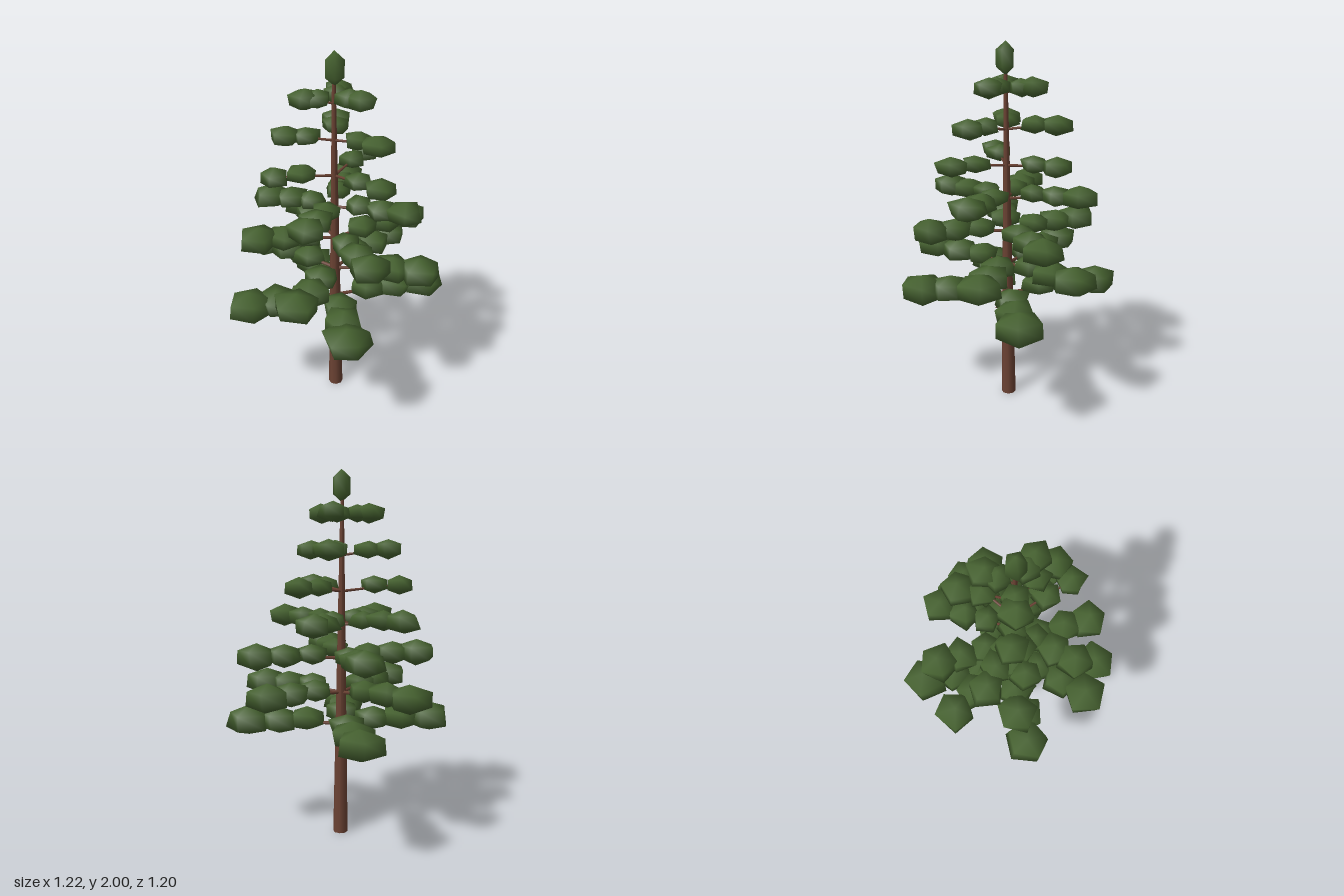
import * as THREE from 'three';
import { mergeVertices } from 'three/addons/utils/BufferGeometryUtils.js';

const bark = new THREE.MeshStandardMaterial({ color: 0x6b4233 });
bark.name = 'bark brown';
const needles = new THREE.MeshStandardMaterial({ color: 0x466230 });
needles.name = 'needle green';

// Small seeded random numbers, -1 to 1
let seed = 11;
const rand = () => {
  seed = (seed * 16807) % 2147483647;
  return (seed / 2147483647) * 2 - 1;
};

// Five-sided smooth lump with uneven corners, radius and half height given
function clumpGeometry(radius, half, jitter, turn) {
  let g = new THREE.SphereGeometry(1, 5, 3);
  g.deleteAttribute('uv');
  g.deleteAttribute('normal');
  g = mergeVertices(g, 1e-3);
  const p = g.attributes.position;
  for (let i = 0; i < p.count; i++) {
    const k = 1 + rand() * jitter;
    p.setXYZ(i, p.getX(i) * k + rand() * jitter * 0.5,
      p.getY(i) * (1 + rand() * jitter * 0.3), p.getZ(i) * k + rand() * jitter * 0.5);
  }
  g.scale(radius / 0.9, half, radius / 0.9);
  g.rotateY(turn);
  g.computeVertexNormals();
  return g;
}

// Tapered round stick between two points
function stick(name, a, b, r0, r1, sides) {
  const dir = b.clone().sub(a);
  const m = new THREE.Mesh(new THREE.CylinderGeometry(r1, r0, dir.length(), sides), bark);
  m.quaternion.setFromUnitVectors(new THREE.Vector3(0, 1, 0), dir.normalize());
  m.position.copy(a).add(b).multiplyScalar(0.5);
  m.name = name;
  return m;
}

const trunkAt = (y) => new THREE.Vector3(-0.01 - 0.003 * y, y, 0.008 * y);

// Tiers from low to high: height, clump half height, clump radius,
// clumps per branch, and the outermost clump centre [x, z] of each branch
const tiers = [
  { y: 0.655, half: 0.083, r: 0.125, n: 3, tips: [[-0.49, 0.13], [0.01, 0.49], [0.49, -0.07], [-0.16, -0.49]] },
  { y: 0.835, half: 0.077, r: 0.115, n: 3, tips: [[-0.24, 0.42], [0.44, 0.13], [-0.39, -0.28], [0.33, -0.34]] },
  { y: 1.025, half: 0.072, r: 0.105, n: 3, tips: [[-0.42, 0.06], [0.13, 0.41], [0.41, -0.18], [-0.18, -0.38]] },
  { y: 1.21, half: 0.063, r: 0.095, n: 3, tips: [[-0.35, -0.1], [0.08, -0.37], [-0.17, 0.33], [0.33, 0.19]] },
  { y: 1.39, half: 0.054, r: 0.08, n: 2, tips: [[-0.32, 0.09], [0.18, 0.28], [0.17, -0.25]] },
  { y: 1.582, half: 0.054, r: 0.08, n: 2, tips: [[-0.26, 0.02], [0.18, 0.19], [0.02, -0.25]] },
  { y: 1.772, half: 0.054, r: 0.078, n: 2, tips: [[-0.16, 0.03], [0.11, 0.09], [0.02, -0.125]] },
];

export function createModel() {
  seed = 11;
  const tree = new THREE.Group();
  tree.name = 'coniferTree';

  // Trunk
  tree.add(stick('trunk', trunkAt(0), trunkAt(1.87), 0.041, 0.009, 8));

  // Branches with clumps that grow larger towards the tip
  tiers.forEach((tier, t) => {
    const group = new THREE.Group();
    group.name = 'branchTier' + (t + 1);
    for (const [x, z] of tier.tips) {
      const root = trunkAt(tier.y - 0.03);
      const tip = new THREE.Vector3(x, tier.y + 0.005, z);
      group.add(stick('branch', root, tip, 0.011 - t * 0.0007, 0.004, 5));
      const angle = Math.atan2(x, z);
      for (let i = 0; i < tier.n; i++) {
        const f = tier.n === 3 ? 1 - i * 0.32 : 1 - i * 0.43;
        const size = 1 - i * 0.1;
        const clump = new THREE.Mesh(
          clumpGeometry(tier.r * size, tier.half * size, 0.13, angle + rand() * 0.6), needles);
        clump.name = 'needleClump';
        clump.position.set(root.x + (x - root.x) * f, tier.y + rand() * 0.005, root.z + (z - root.z) * f);
        group.add(clump);
      }
    }
    tree.add(group);
  });

  // Top clump
  const top = new THREE.Mesh(clumpGeometry(0.052, 0.086, 0.03, 0.3), needles);
  top.name = 'topClump';
  top.position.set(-0.012, 1.914, 0.015);
  tree.add(top);

  // Bare twigs under the lowest tier
  for (const [y, x, z] of [[0.525, -0.02, 0.075], [0.53, 0.01, -0.04], [0.555, -0.05, 0.02], [0.56, 0.03, 0.03]]) {
    tree.add(stick('twig', trunkAt(y), new THREE.Vector3(x, y + 0.004, z), 0.004, 0.002, 4));
  }
  return tree;
}
